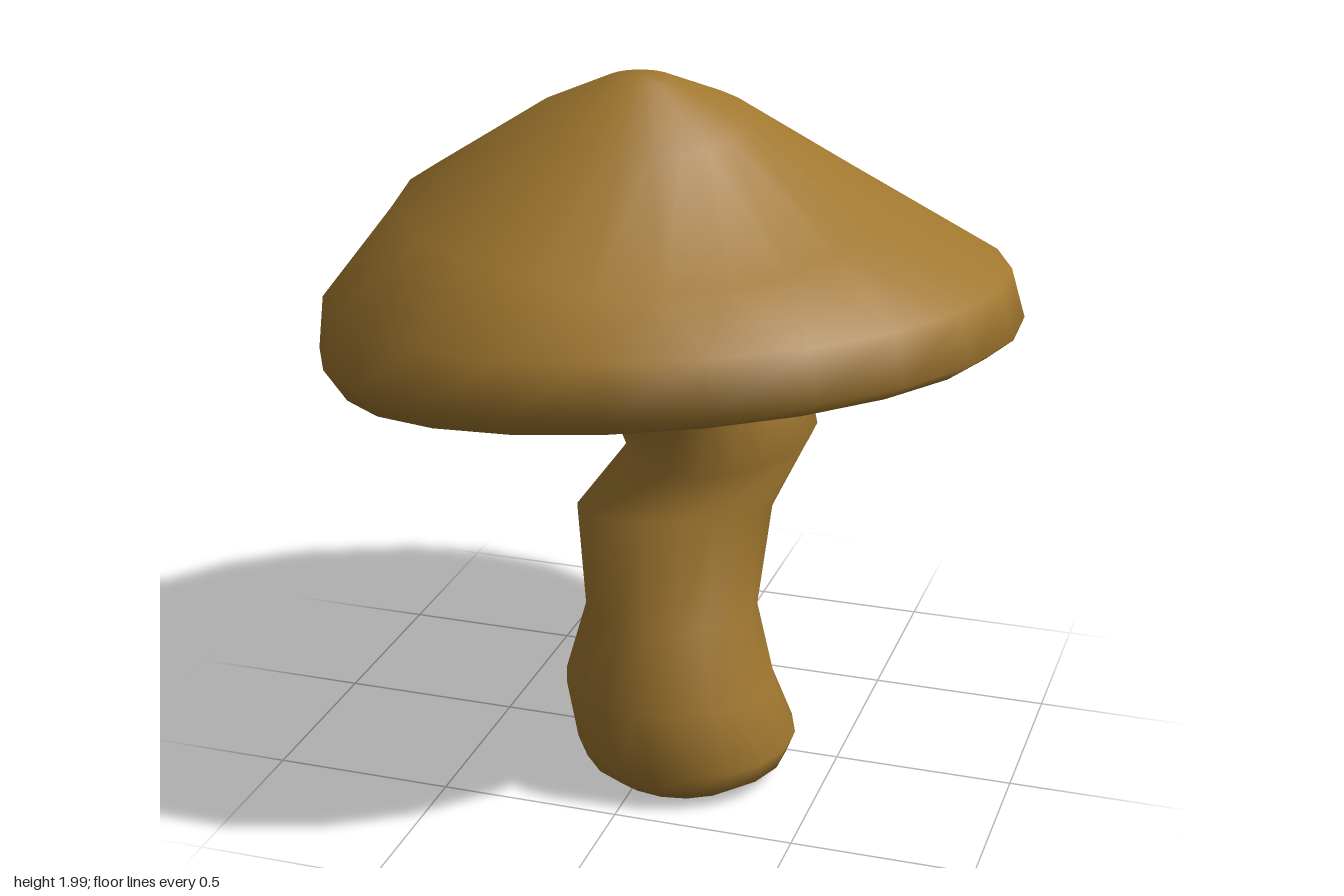
import * as THREE from 'three';
import { mergeVertices } from 'three/addons/utils/BufferGeometryUtils.js';

// Skin a list of tilted rings, ordered so the outside faces out.
// ring: [centre x, centre z, radius, y at the axis, slope along x, slope along z, dent]
function loft(rings, sides) {
  const pos = [], index = [];
  rings.forEach(([cx, cz, r, y, sx = 0, sz = 0, dent = 0], i) => {
    for (let j = 0; j < sides; j++) {
      const a = Math.PI + (j / sides) * Math.PI * 2;
      const x = cx + r * Math.sin(a), z = cz + r * Math.cos(a);
      // the dent presses the surface down on one side only
      const press = dent * Math.pow(Math.max(0, Math.cos(a - 0.6)), 2);
      pos.push(x, y + sx * x + sz * z - press, z);
      if (i === rings.length - 1) continue;
      const k = (j + 1) % sides, lo = i * sides, hi = lo + sides;
      if (r > 0) index.push(lo + j, lo + k, hi + k);
      if (rings[i + 1][2] > 0) index.push(lo + j, hi + k, hi + j);
    }
  });
  const geo = new THREE.BufferGeometry();
  geo.setAttribute('position', new THREE.Float32BufferAttribute(pos, 3));
  geo.setIndex(index);
  const welded = mergeVertices(geo, 1e-5);
  welded.computeVertexNormals();
  return welded;
}

export function createModel() {
  const group = new THREE.Group();
  const ochre = new THREE.MeshStandardMaterial({ color: 0xa0772f });
  ochre.name = 'ochre';

  const add = (name, rings, sides) => {
    const mesh = new THREE.Mesh(loft(rings, sides), ochre);
    mesh.name = name;
    group.add(mesh);
  };

  // Crooked stem, from the base up into the cap
  add('stem', [
    [0.09, 0.16, 0, 0.01],
    [0.09, 0.16, 0.21, 0.01],
    [0.095, 0.15, 0.285, 0.06],
    [0.095, 0.15, 0.31, 0.125],
    [0.06, 0.185, 0.295, 0.28, 0, 0.08],
    [0.05, 0.145, 0.24, 0.49, 0.05, 0.05],
    [0.022, 0.03, 0.275, 0.74, 0.08, 0.2],
    [0.14, -0.045, 0.262, 0.93, 0.12, -0.15],
    [0.11, 0.03, 0.255, 1.1, 0.2, -0.2],
    [0.03, 0.03, 0.25, 1.24, 0.1, 0],
    [0.02, 0.03, 0.25, 1.36],
  ], 18);

  // Tilted cap: hollow underside, rolled rim, dented dome
  add('cap', [
    [0.03, 0.03, 0, 1.3, 0.1, 0.1],
    [0.03, 0.03, 0.24, 1.25, 0.1, 0.1],
    [0.02, 0.02, 0.32, 1.22, 0.11, 0.11],
    [0.01, 0.01, 0.42, 1.245, 0.12, 0.12],
    [0, 0, 0.8, 1.2, 0.12, 0.12],
    [-0.01, -0.01, 0.895, 1.17, 0.12, 0.12],
    [0, 0, 0.96, 1.26, 0.085, 0.085],
    [-0.003, 0.03, 0.928, 1.41, 0.08, 0.083],
    [-0.055, 0.1, 0.64, 1.66, 0, -0.02, 0.06],
    [-0.035, 0.15, 0.285, 1.905, 0, -0.04, 0.03],
    [-0.03, 0.165, 0.085, 1.995],
    [-0.03, 0.165, 0, 2.0],
  ], 23);

  return group;
}
